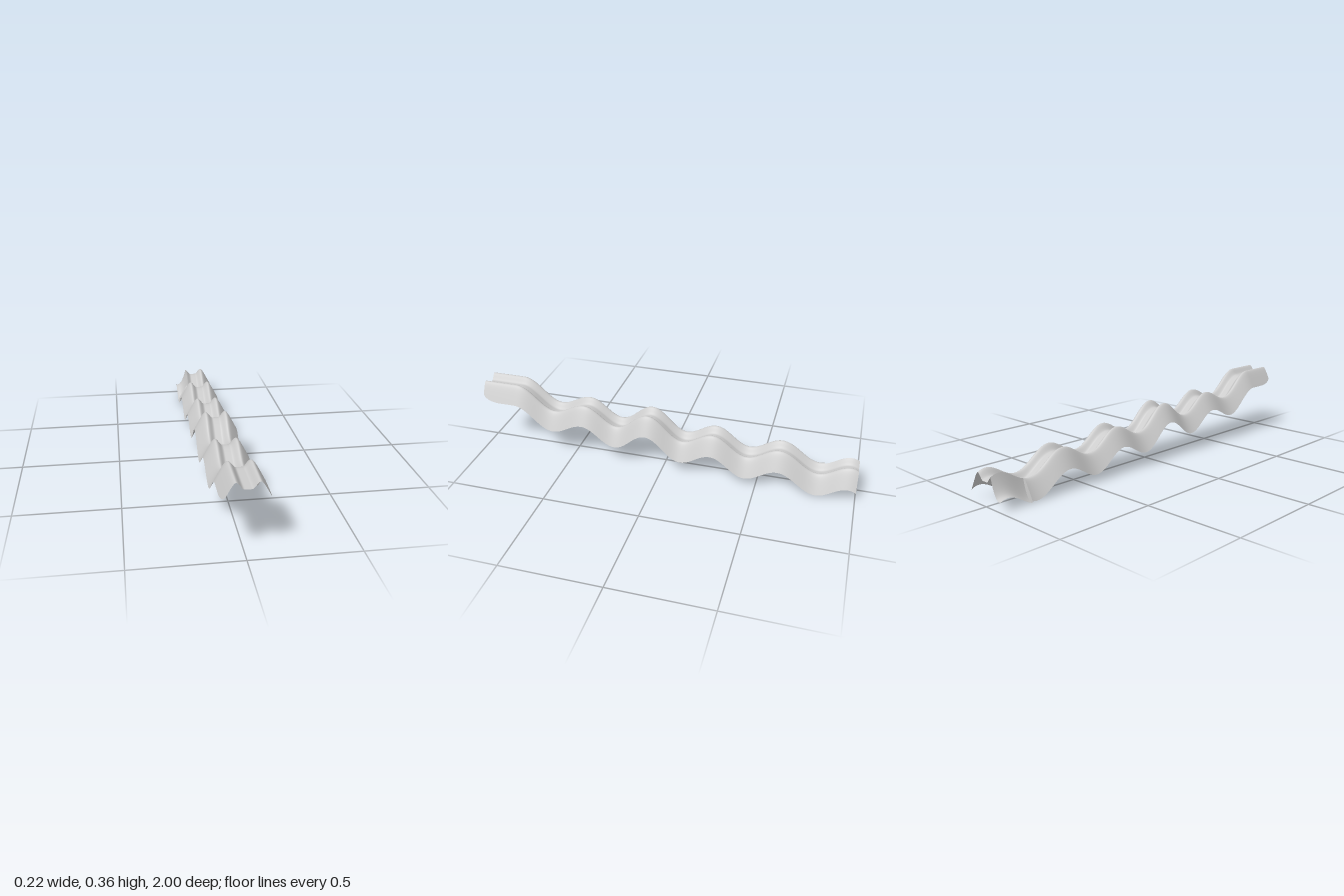
import * as THREE from 'three';

const HALF = 0.108, TAIL = -0.83, SPLIT = 0.045;

// Crests and valleys of the wavy run, as [z, height of the ridge tops]
const WAVES = [
  [1, 0.365], [0.82, 0.365], [0.605, 0.238], [0.44, 0.295], [0.257, 0.198], [0.09, 0.29], [-0.1, 0.168],
  [-0.257, 0.23], [-0.44, 0.133], [-0.605, 0.2], [-0.805, 0.1], [-0.96, 0.162], [-1.14, 0.06],
];

// Height of the run at z, eased between neighbouring crests and valleys
function runHeight(z) {
  let i = 0;
  while (i < WAVES.length - 2 && z < WAVES[i + 1][0]) i++;
  const [z0, y0] = WAVES[i], [z1, y1] = WAVES[i + 1];
  const t = (z0 - z) / (z0 - z1);
  return y0 + (y1 - y0) * (1 - Math.cos(Math.PI * t)) / 2;
}

// Cross-section: flat channel, two rounded ridges, sloping skirts
function section(x) {
  const a = Math.abs(x);
  if (a < 0.05) return -0.032 * (1 - THREE.MathUtils.smoothstep(a, 0.015, 0.05));
  return -2 * (Math.hypot(a - 0.05, 0.012) - 0.012);
}

// Hollowed skirt used at the tail on one side
function hollowSection(x) {
  const s = (Math.abs(x) - SPLIT) / (HALF - SPLIT);
  const top = section(SPLIT);
  return top - (0.102 + top) * (1 - Math.pow(Math.max(0, 1 - s), 2.6));
}

// Front corners are rounded off
function halfWidth(z) {
  const t = Math.max(0, (z - 0.9) / 0.1);
  return 0.088 + 0.02 * Math.sqrt(Math.max(0, 1 - t * t));
}

// Grid surface from point(u, v); u runs along +x, v towards -z (or upward)
function sheet(name, nu, nv, point) {
  const pos = [], index = [];
  for (let j = 0; j <= nv; j++)
    for (let i = 0; i <= nu; i++) pos.push(...point(i / nu, j / nv));
  for (let j = 0; j < nv; j++)
    for (let i = 0; i < nu; i++) {
      const a = j * (nu + 1) + i, b = a + nu + 1;
      index.push(a, a + 1, b, a + 1, b + 1, b);
    }
  const geo = new THREE.BufferGeometry();
  geo.setAttribute('position', new THREE.Float32BufferAttribute(pos, 3));
  geo.setIndex(index);
  geo.computeVertexNormals();
  const mesh = new THREE.Mesh(geo, new THREE.MeshStandardMaterial({ color: 0xcccccc, side: THREE.DoubleSide }));
  mesh.name = name;
  return mesh;
}

export function createModel() {
  const group = new THREE.Group();
  group.name = 'wavySlide';
  const lerp = THREE.MathUtils.lerp;

  // Main run, from the flat front platform to the start of the tail
  group.add(sheet('mainRun', 72, 240, (u, v) => {
    // rows bunch up at the front for the rounded corners
    const z = v < 0.1 ? 1 - 0.1 * (v / 0.1) ** 2 : lerp(0.9, TAIL, (v - 0.1) / 0.9);
    let x = lerp(-HALF, HALF, u);
    const a = Math.abs(x);
    if (a > 0.05) x = Math.sign(x) * lerp(0.05, halfWidth(z), (a - 0.05) / (HALF - 0.05));
    return [x, runHeight(z) + section(x), z];
  }));

  // Tail: ordinary section, then the hollowed skirt beside it
  group.add(sheet('tailRun', 52, 24, (u, v) => {
    const x = lerp(-SPLIT, HALF, u), z = lerp(TAIL, -1, v);
    return [x, runHeight(z) + section(x), z];
  }));
  group.add(sheet('tailHollowSkirt', 20, 24, (u, v) => {
    const x = lerp(-HALF, -SPLIT, u), z = lerp(TAIL, -1, v);
    return [x, runHeight(z) + hollowSection(x), z];
  }));

  // Upright step closing the gap between plain and hollowed skirts
  group.add(sheet('tailStep', 20, 1, (u, v) => {
    const x = lerp(-HALF, -SPLIT, u);
    return [x, runHeight(TAIL) + lerp(hollowSection(x), section(x), v), TAIL];
  }));

  return group;
}
